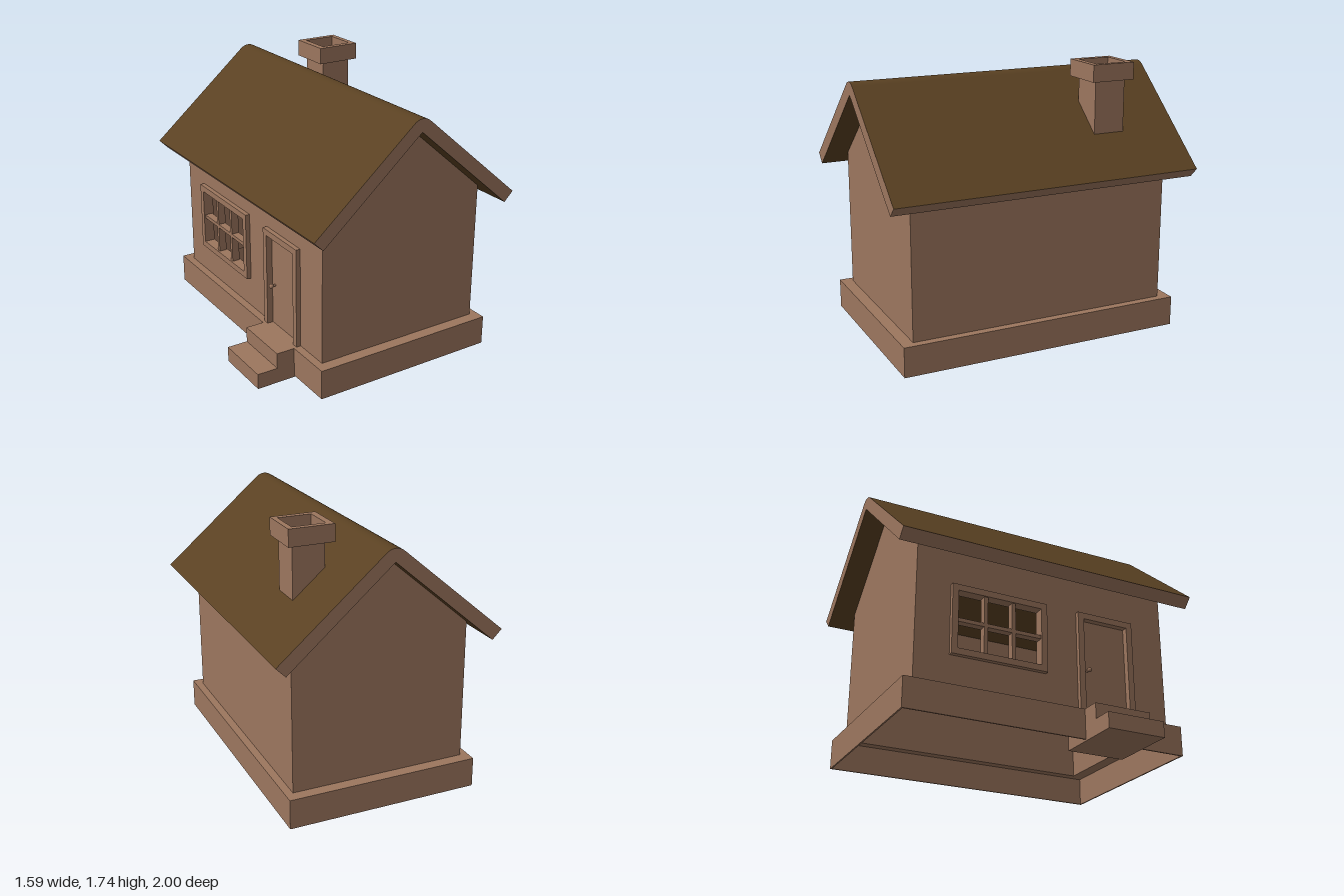
import * as THREE from 'three';

const CX = 0.075; // ridge line x

export function createModel() {
  const house = new THREE.Group();
  house.name = 'house';
  const wallMat = new THREE.MeshStandardMaterial({ color: 0x9c765e, side: THREE.DoubleSide });
  wallMat.name = 'clay';
  const roofMat = new THREE.MeshStandardMaterial({ color: 0x5a4122, side: THREE.DoubleSide });
  roofMat.name = 'dark roof';

  const add = (name, geo, mat = wallMat) => {
    const m = new THREE.Mesh(geo, mat);
    m.name = name;
    house.add(m);
    return m;
  };
  // box from its minimum and maximum corners
  const box = (name, x0, x1, y0, y1, z0, z1) =>
    add(name, new THREE.BoxGeometry(x1 - x0, y1 - y0, z1 - z0)
      .translate((x0 + x1) / 2, (y0 + y1) / 2, (z0 + z1) / 2));
  const poly = (pts) => new THREE.Shape(pts.map(([a, b]) => new THREE.Vector2(a, b)));
  const rect = (a0, a1, b0, b1) => [[a0, b0], [a1, b0], [a1, b1], [a0, b1]];
  const extrude = (pts, holes, depth) => {
    const s = poly(pts);
    s.holes = holes.map(poly);
    return new THREE.ExtrudeGeometry(s, { depth, bevelEnabled: false });
  };
  // panel drawn in (z, y), spanning xOut..xIn on the entrance side
  const sidePanel = (name, pts, holes, xOut, xIn) =>
    add(name, extrude(pts, holes, xIn - xOut).rotateY(-Math.PI / 2).translate(xIn, 0, 0));
  // flat ring drawn in (x, z), spanning y0..y1
  const flatRing = (name, pts, hole, y0, y1) =>
    add(name, extrude(pts, [hole], y1 - y0).rotateX(Math.PI / 2).translate(0, y1, 0));

  // Foundation: hollow skirt with a ledge around the walls
  const t = 0.01;
  for (const s of [-1, 1]) {
    box('foundationEnd', -0.54, 0.69, 0.01, 0.2, s * 0.92 - t / 2, s * 0.92 + t / 2);
    const x = CX + s * 0.61;
    box('foundationSide', x - t / 2, x + t / 2, 0.01, 0.2, -0.92, 0.92);
  }
  flatRing('foundationLedge', rect(-0.54, 0.69, -0.925, 0.925), rect(-0.47, 0.62, -0.83, 0.83), 0.19, 0.2);

  // Walls: two gables, a plain side and the entrance side with openings
  const gable = [[-0.49, 0.2], [0.64, 0.2], [0.64, 1.093], [CX, 1.58], [-0.49, 1.093]];
  for (const z of [-0.85, 0.83]) add('gableWall', extrude(gable, [], 0.02).translate(0, 0, z));
  box('plainWall', 0.62, 0.64, 0.2, 1.1, -0.85, 0.85);
  const wall = [[-0.85, 0.2], [0.24, 0.2], [0.24, 0.83], [0.59, 0.83], [0.59, 0.2],
    [0.85, 0.2], [0.85, 1.1], [-0.85, 1.1]];
  sidePanel('entranceWall', wall, [rect(-0.61, -0.02, 0.42, 0.83)], -0.49, -0.47);

  // Door with frame and knob
  const jamb = [[0.22, 0.2], [0.26, 0.2], [0.26, 0.81], [0.57, 0.81], [0.57, 0.2],
    [0.61, 0.2], [0.61, 0.85], [0.22, 0.85]];
  sidePanel('doorFrame', jamb, [], -0.52, -0.45);
  box('door', -0.48, -0.46, 0.2, 0.81, 0.26, 0.57);
  add('doorKnob', new THREE.SphereGeometry(0.015, 16, 12).translate(-0.51, 0.475, 0.295));
  add('knobStem', new THREE.CylinderGeometry(0.007, 0.007, 0.03, 12)
    .rotateZ(Math.PI / 2).translate(-0.49, 0.475, 0.295));

  // Window: frame and bars, open between them
  sidePanel('windowFrame', rect(-0.63, 0, 0.4, 0.85), [rect(-0.59, -0.04, 0.44, 0.81)], -0.52, -0.45);
  for (const z of [-0.407, -0.223]) box('windowBar', -0.51, -0.46, 0.44, 0.81, z - 0.012, z + 0.012);
  box('windowCrossbar', -0.51, -0.46, 0.613, 0.637, -0.59, -0.04);

  // Entrance steps
  box('lowerStep', -0.795, -0.335, 0, 0.1, 0.235, 0.615);
  box('upperStep', -0.66, -0.335, 0.1, 0.2, 0.235, 0.615);

  // Roof: rounded ridge, dark faces, clay edges
  const R = 0.084, yc = 1.576, angle = 0.712;
  const top = [[0.79, 1.075], [0.145, 1.627]];
  for (let i = 0; i <= 10; i++) {
    const a = angle * (1 - i / 5);
    top.push([CX + R * Math.sin(a), yc + R * Math.cos(a)]);
  }
  top.push([0.005, 1.627], [-0.64, 1.075]);
  const under = [[-0.58, 1.015], [CX, 1.58], [0.73, 1.015]];
  // sheet along z following a profile, counter-clockwise as seen from the front
  const sheet = (pts, half = 1) => {
    const pos = [], idx = [];
    pts.forEach(([x, y], i) => {
      pos.push(x, y, half, x, y, -half);
      if (i) {
        const a = 2 * i - 2;
        idx.push(a, a + 1, a + 2, a + 1, a + 3, a + 2);
      }
    });
    const g = new THREE.BufferGeometry();
    g.setAttribute('position', new THREE.Float32BufferAttribute(pos, 3));
    g.setIndex(idx);
    g.computeVertexNormals();
    return g;
  };
  add('roofTop', sheet(top), roofMat);
  add('roofUndersideLeft', sheet([under[1], under[2]]), roofMat);
  add('roofUndersideRight', sheet([under[0], under[1]]), roofMat);
  add('eaveEdge', sheet([top[top.length - 1], under[0]]));
  add('eaveEdge', sheet([under[2], top[0]]));
  const end = new THREE.ShapeGeometry(poly([...top, ...under]));
  add('roofEnd', end.clone().translate(0, 0, 1));
  add('roofEnd', end.clone().rotateY(Math.PI).translate(2 * CX, 0, -1));

  // Chimney: shaft through the roof and a hollow cap
  box('chimneyShaft', 0.325, 0.528, 1.28, 1.67, -0.615, -0.41);
  flatRing('chimneyCap', rect(0.28, 0.565, -0.655, -0.372), rect(0.322, 0.53, -0.618, -0.41), 1.628, 1.735);

  return house;
}
